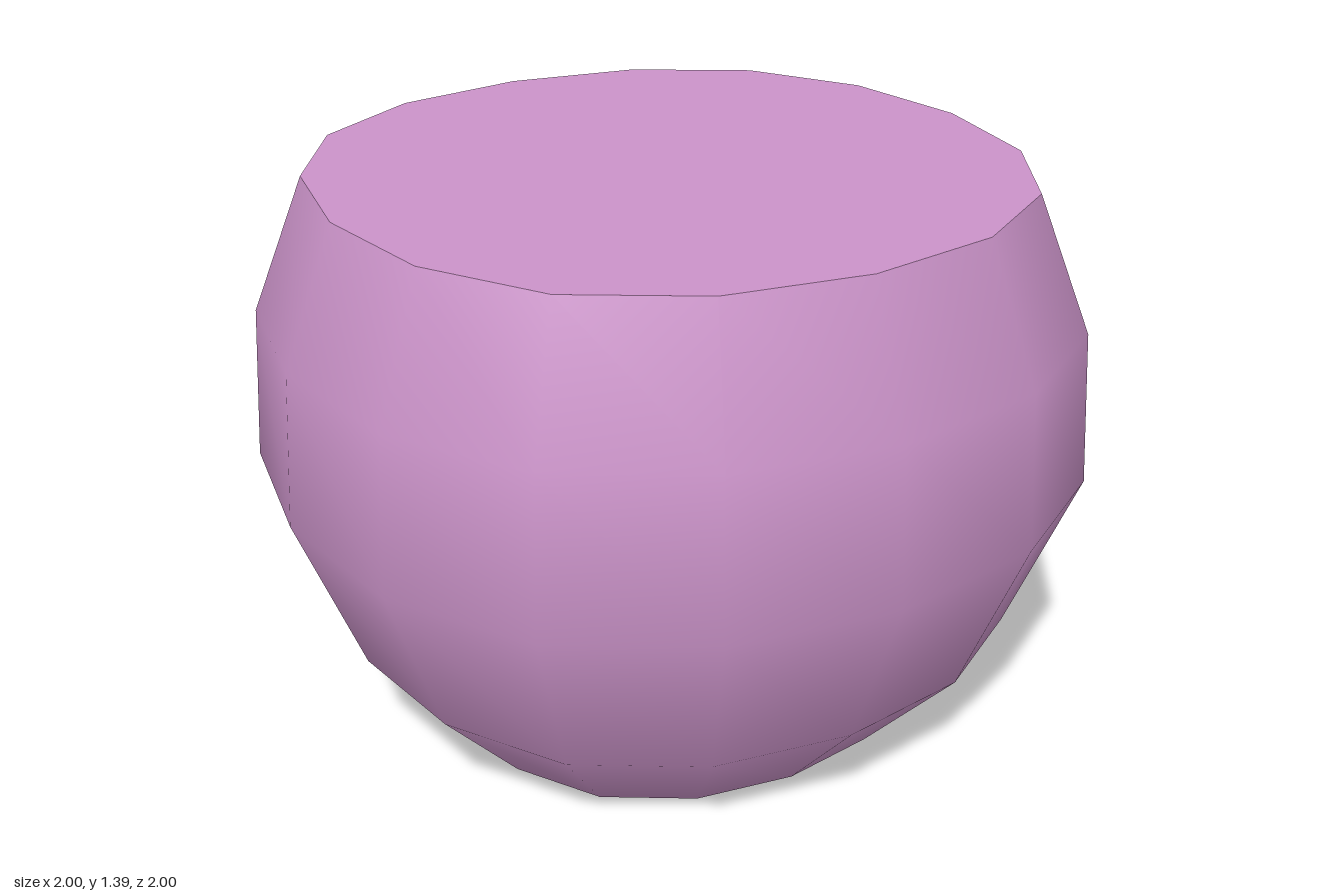
import * as THREE from 'three';
import { mergeVertices } from 'three/addons/utils/BufferGeometryUtils.js';

const SIDES = 16;
// radius, height from base to rim
const PROFILE = [[0.605, 0], [0.84, 0.265], [1, 0.68], [0.975, 1.06], [0.845, 1.39]];

// Swell the diagonals so the round section is very slightly squarish
function squareOff(geometry) {
  const p = geometry.attributes.position;
  for (let i = 0; i < p.count; i++) {
    const x = p.getX(i), z = p.getZ(i);
    const a = Math.atan2(z, x);
    const r = Math.hypot(x, z) * (1 + 0.037 * Math.sin(2 * a) ** 2);
    const b = a + 0.014 * Math.sin(4 * a);
    p.setXYZ(i, r * Math.cos(b), p.getY(i), r * Math.sin(b));
  }
  return geometry;
}

export function createModel() {
  const model = new THREE.Group();
  model.name = 'roundedPot';
  const material = new THREE.MeshStandardMaterial({ color: 0xcc94ca });

  function add(name, geometry) {
    const mesh = new THREE.Mesh(geometry, material);
    mesh.name = name;
    model.add(mesh);
  }

  // Bulging wall, welded at the seam for smooth shading
  let wall = new THREE.LatheGeometry(PROFILE.map(([r, y]) => new THREE.Vector2(r, y)), SIDES);
  wall.deleteAttribute('uv');
  wall.deleteAttribute('normal');
  wall = mergeVertices(squareOff(wall), 1e-4);
  wall.computeVertexNormals();
  add('wall', wall);

  // Flat discs closing the top and the base with sharp edges
  function disc([radius, y], up) {
    const g = new THREE.CircleGeometry(radius, SIDES);
    g.rotateX(up ? -Math.PI / 2 : Math.PI / 2).translate(0, y, 0);
    return squareOff(g);
  }
  add('topFace', disc(PROFILE[PROFILE.length - 1], true));
  add('baseFace', disc(PROFILE[0], false));

  return model;
}
